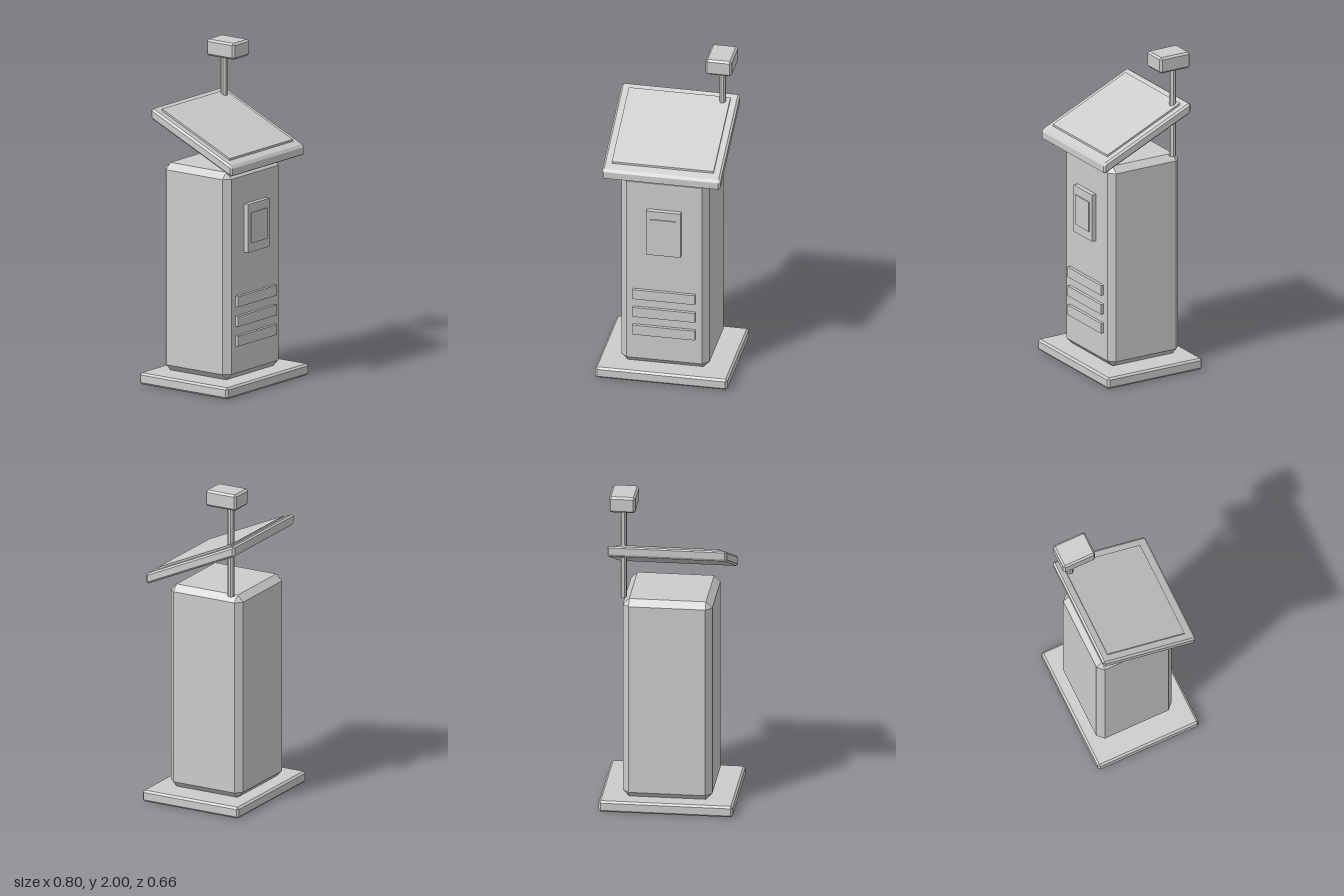
import * as THREE from 'three';
import { ConvexGeometry } from 'three/addons/geometries/ConvexGeometry.js';

const grey = new THREE.MeshStandardMaterial({ color: 0xcccccc });
grey.name = 'light grey';

// Box with all edges cut at 45 degrees; each corner becomes three points
function chamferBox(w, h, d, c) {
  const points = [];
  for (const sx of [-1, 1]) for (const sy of [-1, 1]) for (const sz of [-1, 1]) {
    for (let axis = 0; axis < 3; axis++) {
      const cut = [c, c, c];
      cut[axis] = 0;
      points.push(new THREE.Vector3(
        sx * (w / 2 - cut[0]), sy * (h / 2 - cut[1]), sz * (d / 2 - cut[2])));
    }
  }
  return new ConvexGeometry(points);
}

// Slope a geometry down towards the front, keeping its ends vertical
function slope(geometry, amount) {
  const shear = new THREE.Matrix4().set(
    1, 0, 0, 0,
    0, 1, -amount, 0,
    0, 0, 1, 0,
    0, 0, 0, 1);
  geometry.applyMatrix4(shear);
  geometry.computeVertexNormals();
  return geometry;
}

export function createModel() {
  const group = new THREE.Group();
  const add = (name, geometry, x, y, z) => {
    const mesh = new THREE.Mesh(geometry, grey);
    mesh.name = name;
    mesh.position.set(x, y, z);
    group.add(mesh);
  };

  // Floor plate and pedestal
  add('base', chamferBox(0.8, 0.07, 0.66, 0.012), 0, 0.035, 0);
  add('pedestal', chamferBox(0.534, 1.265, 0.494, 0.038), 0, 0.7025, -0.017);

  // Sloping desk with its screen
  const tilt = 0.453;
  add('desk', slope(chamferBox(0.716, 0.066, 0.606, 0.012), tilt), 0, 1.515, 0.027);
  add('screen', slope(new THREE.BoxGeometry(0.616, 0.024, 0.506), tilt), 0, 1.549, 0.025);

  // Badge on the pedestal front
  add('badgeFrame', new THREE.BoxGeometry(0.208, 0.295, 0.05), 0, 0.977, 0.235);
  add('badgePanel', new THREE.BoxGeometry(0.156, 0.186, 0.05), 0, 0.978, 0.241);

  // Vent slats
  for (const y of [0.305, 0.425, 0.545]) {
    add('ventSlat', new THREE.BoxGeometry(0.378, 0.063, 0.04), 0, y, 0.23);
  }

  // Pole and head at the back left corner
  const pole = new THREE.CylinderGeometry(0.021, 0.021, 0.57, 8).rotateY(Math.PI / 8).toNonIndexed();
  pole.computeVertexNormals();
  add('pole', pole, 0.266, 1.62, -0.203);
  add('head', chamferBox(0.158, 0.1, 0.21, 0.012), 0.266, 1.95, -0.175);

  return group;
}
